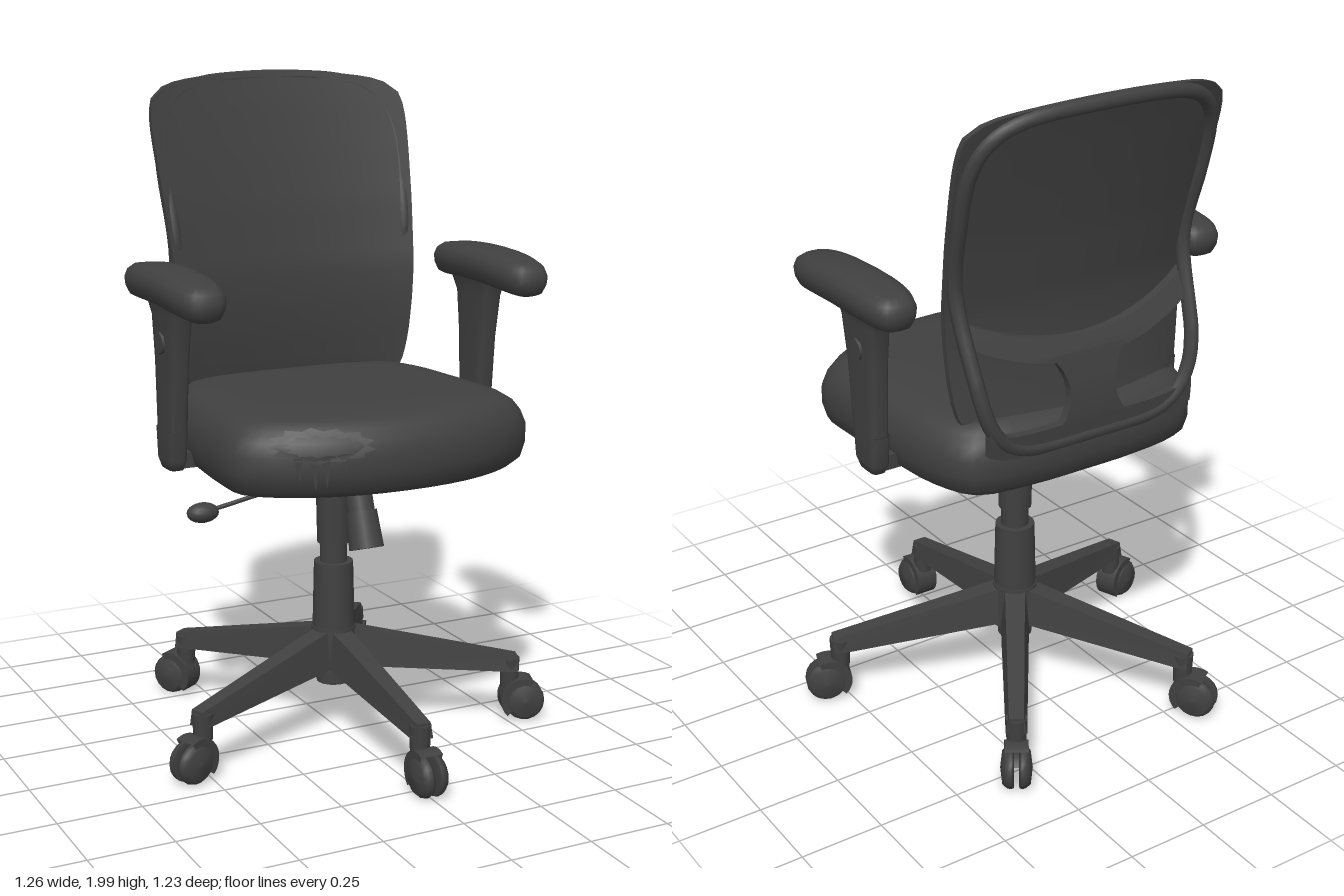
import * as THREE from 'three';

const charcoal = new THREE.MeshStandardMaterial({ color: 0x404040, side: THREE.DoubleSide });
charcoal.name = 'charcoal';

function add(parent, name, geo, x = 0, y = 0, z = 0) {
  const m = new THREE.Mesh(geo, charcoal);
  m.name = name;
  m.position.set(x, y, z);
  parent.add(m);
  return m;
}

// Move every vertex by a rule
function warp(geo, rule) {
  const p = geo.attributes.position, v = new THREE.Vector3();
  for (let i = 0; i < p.count; i++) {
    v.fromBufferAttribute(p, i);
    rule(v);
    p.setXYZ(i, v.x, v.y, v.z);
  }
  geo.computeVertexNormals();
  return geo;
}

// Bent plate: u in -1..1, v in 0..1, s in -1..1 through the thickness
const slab = (nu, nv, f) => warp(new THREE.BoxGeometry(2, 1, 2, nu, nv, 1),
  p => p.set(...f(p.x, p.y + 0.5, p.z)));

const sgnPow = (c, e) => Math.sign(c) * Math.pow(Math.abs(c), e);
const squircle = p => t => [sgnPow(Math.sin(t * 2 * Math.PI), 2 / p), sgnPow(Math.cos(t * 2 * Math.PI), 2 / p)];

// Skin stacked rings [y, cx, cz, sx, sz] of one outline, bottom to top
function loft(rings, outline, n = 24) {
  const pos = [], idx = [];
  for (const [y, cx, cz, sx, sz] of rings)
    for (let j = 0; j < n; j++) {
      const [x, z] = outline(j / n);
      pos.push(cx + x * sx, y, cz + z * sz);
    }
  for (let i = 0; i < rings.length - 1; i++)
    for (let j = 0; j < n; j++) {
      const k = (j + 1) % n, a = i * n + j, b = i * n + k;
      idx.push(a, b, b + n, a, b + n, a + n);
    }
  const g = new THREE.BufferGeometry();
  g.setAttribute('position', new THREE.Float32BufferAttribute(pos, 3));
  g.setIndex(idx);
  g.computeVertexNormals();
  return g;
}

// Linear lookup in [key, value] pairs
function lookup(table, k) {
  for (let i = 1; i < table.length; i++) {
    const [a, va] = table[i - 1], [b, vb] = table[i];
    if (k <= b || i === table.length - 1) return va + (vb - va) * (k - a) / (b - a);
  }
}

function rod(parent, name, a, b, r0, r1, sides = 14) {
  const A = new THREE.Vector3(...a), d = new THREE.Vector3(...b).sub(A);
  const m = add(parent, name, new THREE.CylinderGeometry(r1, r0, d.length(), sides));
  m.position.copy(A).addScaledVector(d, 0.5);
  m.quaternion.setFromUnitVectors(new THREE.Vector3(0, 1, 0), d.normalize());
}

const COL_Z = -0.055; // column axis

function makeSeat(root) {
  const half = [[0.22, 0.42], [0.385, 0.35], [0.468, 0.27], [0.475, 0.12], [0.46, -0.08], [0.435, -0.27], [0.37, -0.4], [0.2, -0.435]];
  const pts = [[0, 0.445], ...half, [0, -0.44], ...half.map(([x, z]) => [-x, z]).reverse()];
  const curve = new THREE.CatmullRomCurve3(pts.map(([x, z]) => new THREE.Vector3(x, 0, z)), true);
  const outline = t => { const p = curve.getPoint(t); return [p.x, p.z]; };
  const levels = [[0.872, 0.001], [0.868, 0.85], [0.872, 0.93], [0.895, 0.985], [0.94, 1.01], [0.99, 1.01],
    [1.03, 0.98], [1.06, 0.935], [1.08, 0.87], [1.09, 0.75], [1.093, 0.4], [1.094, 0.001]];
  add(root, 'seat', loft(levels.map(([y, s]) => [y, 0, 0, s, s]), outline, 54));

  // Torn patch on the front edge: ragged rim and hanging threads
  const ring = (rx, ry, jag) => Array.from({ length: 26 }, (_, i) => {
    const a = i / 26 * Math.PI * 2, k = 1 + (i % 2 ? jag : -jag) * (1 + 0.5 * Math.sin(i * 2.3));
    return new THREE.Vector2(-0.265 + Math.cos(a) * rx * k, 1.025 + Math.sin(a) * ry * k);
  });
  const rim = new THREE.Shape(ring(0.13, 0.045, 0.1));
  rim.holes.push(new THREE.Path(ring(0.095, 0.027, 0.1)));
  const threads = [[-0.33, 0.93], [-0.29, 0.9], [-0.26, 0.91], [-0.21, 0.95]].map(([x, y]) => new THREE.Shape(
    [[x - 0.012, 0.995], [x + 0.004, y], [x + 0.012, 0.995]].map(q => new THREE.Vector2(...q))));
  add(root, 'tornFabric', warp(new THREE.ShapeGeometry([rim, ...threads]), p => {
    const up = Math.max(0, p.y - 0.98);
    p.z = (0.46 - 0.7 * p.x * p.x) * (1 - 12 * up * up) + 0.012;
  }));
}

// Backrest surfaces: side edge of the panel, and the rear frame
const sideZ = [[0.98, -0.33], [1.08, -0.305], [1.2, -0.292], [1.3, -0.288], [1.4, -0.293], [1.6, -0.335], [1.75, -0.375], [1.9, -0.418], [2, -0.45]];
const rearZ = [[0.98, -0.43], [1.06, -0.436], [1.15, -0.43], [1.25, -0.408], [1.35, -0.36], [1.42, -0.32]];
function backPoint(u, v) {
  const w = 0.37 + 0.065 * Math.pow(v, 0.8) - 0.022 * v ** 22 - 0.04 * (1 - v) ** 20;
  const top = 1.995 - 0.035 * u * u - 0.035 * u ** 12, bottom = 0.98 + 0.05 * u ** 8;
  const y = bottom + (top - bottom) * v;
  return [u * w, y, lookup(sideZ, y) - (0.065 - 0.025 * v) * (1 - u * u)];
}

function makeBackrest(root) {
  const g = new THREE.Group();
  g.name = 'backrest';
  root.add(g);
  add(g, 'backPanel', slab(20, 28, (u, v, s) => {
    const [x, y, z] = backPoint(u, v);
    return [x, y, z - 0.01 + s * 0.01];
  }));
  // Rim that swings to the rear in its lower part
  const rim = [], shape = squircle(6);
  for (let i = 0; i < 72; i++) {
    const [a, b] = shape(i / 72);
    const [x, y, z] = backPoint(a * 0.945, 0.5 + b * 0.482);
    rim.push(new THREE.Vector3(x, y, y < 1.42 ? lookup(rearZ, y) : z - 0.022));
  }
  add(g, 'backRim', new THREE.TubeGeometry(new THREE.CatmullRomCurve3(rim, true), 110, 0.022, 8, true));
  // Lower rear frame: lumbar bar, spine and bottom bar around two openings
  const bar = (name, f) => add(g, name, slab(16, 6, (u, v, s) => {
    const [x, y] = f(u, v);
    return [x, y, lookup(rearZ, y) + s * 0.013];
  }));
  bar('lumbarBar', (u, v) => [u * 0.375, 1.225 + 0.1 * u * u + 0.065 * v]);
  bar('backSpine', (u, v) => [u * (0.075 + 0.05 * (2 * v - 1) ** 2), 1.03 + 0.22 * v]);
  bar('backBottomBar', (u, v) => [u * 0.345, 0.985 + 0.03 * u ** 6 + 0.07 * v]);
}

function makeArm(root, side) {
  const g = new THREE.Group();
  g.name = side > 0 ? 'leftArmrest' : 'rightArmrest';
  root.add(g);
  const X = side * 0.512;
  const pad = [[1.375, 0.001, 0.001], [1.375, 0.05, 0.235], [1.385, 0.069, 0.255], [1.41, 0.081, 0.267], [1.435, 0.084, 0.27],
    [1.458, 0.075, 0.26], [1.472, 0.055, 0.235], [1.477, 0.03, 0.15], [1.478, 0.001, 0.001]];
  add(g, 'armPad', warp(loft(pad.map(([y, sx, sz]) => [y, side * 0.517, -0.025, sx, sz]), squircle(3.2), 36),
    p => { const d = (p.z + 0.08) / 0.32; p.y -= 0.026 * d * d; }));
  const post = [[0.88, -0.085, 0.001, 0.001], [0.882, -0.085, 0.022, 0.045], [0.91, -0.085, 0.03, 0.058], [1.0, -0.085, 0.032, 0.064],
    [1.0, -0.08, 0.029, 0.066], [1.2, -0.075, 0.031, 0.078], [1.33, -0.07, 0.035, 0.095], [1.37, -0.075, 0.04, 0.115], [1.4, -0.085, 0.05, 0.135]];
  add(g, 'armPost', loft(post.map(([y, z, sx, sz]) => [y, X - side * 0.004, z, sx, sz]), squircle(4), 24));
  add(g, 'armFoot', new THREE.BoxGeometry(0.1, 0.045, 0.09), side * 0.445, 0.91, -0.085);
  rod(g, 'heightButton', [X, 1.255, -0.075], [X + side * 0.036, 1.255, -0.075], 0.038, 0.032, 8);
}

function makeMechanism(root) {
  const plate = [[0.775, 0, -0.06, 0.001, 0.001], [0.775, 0, -0.06, 0.06, 0.08], [0.8, 0, -0.06, 0.09, 0.13],
    [0.84, 0, -0.05, 0.115, 0.2], [0.86, 0, -0.045, 0.135, 0.24], [0.875, 0, -0.045, 0.135, 0.24]];
  add(root, 'tiltMechanism', loft(plate, squircle(8), 28));
  rod(root, 'tensionStem', [0, 0.84, 0.09], [0, 0.72, 0.135], 0.042, 0.042);
  rod(root, 'tensionKnob', [0, 0.74, 0.128], [0, 0.635, 0.165], 0.048, 0.053);
  rod(root, 'leverRod', [-0.07, 0.812, -0.05], [-0.4, 0.75, -0.05], 0.007, 0.007, 8);
  const paddle = add(root, 'leverPaddle', new THREE.SphereGeometry(1, 14, 10), -0.43, 0.745, -0.05);
  paddle.scale.set(0.05, 0.03, 0.035);
}

function makeBase(root) {
  const g = new THREE.Group();
  g.name = 'base';
  g.position.z = COL_Z;
  root.add(g);
  rod(g, 'gasSleeve', [0, 0.6, 0], [0, 0.79, 0], 0.05, 0.054, 18);
  rod(g, 'gasPiston', [0, 0.53, 0], [0, 0.6, 0], 0.042, 0.042, 18);
  rod(g, 'column', [0, 0.33, 0], [0, 0.54, 0], 0.065, 0.06, 18);
  rod(g, 'hub', [0, 0.2, 0], [0, 0.335, 0], 0.075, 0.068, 18);
  rod(g, 'hubFoot', [0, 0.155, 0], [0, 0.21, 0], 0.053, 0.053, 18);

  const wheel = [[0, 0.008], [0.06, 0.008], [0.063, 0.016], [0.06, 0.028], [0.048, 0.041], [0, 0.047]].map(q => new THREE.Vector2(...q));
  [0, 69.5, 146.5, -146.5, -69.5].forEach((angle, i) => {
    const leg = new THREE.Group();
    leg.name = 'leg' + (i + 1);
    leg.rotation.y = THREE.MathUtils.degToRad(angle);
    g.add(leg);
    // Tapered spoke, narrower along its top
    add(leg, 'spoke', warp(new THREE.BoxGeometry(1, 1, 1), p => {
      const t = p.z + 0.5, up = p.y > 0;
      const w = (0.09 - 0.028 * t) * (up ? 0.7 : 1);
      p.set(p.x * w, up ? 0.335 - 0.12 * t : 0.215 - 0.05 * t, 0.02 + 0.555 * t);
    }));
    rod(leg, 'casterStem', [0, 0.11, 0.553], [0, 0.205, 0.553], 0.028, 0.032, 12);
    add(leg, 'casterHood', new THREE.CylinderGeometry(0.07, 0.07, 0.07, 14, 1, false, Math.PI * 0.75, Math.PI * 0.9).rotateZ(-Math.PI / 2), 0, 0.072, 0.593);
    for (const s of [-1, 1])
      add(leg, 'casterWheel', new THREE.LatheGeometry(wheel, 18).rotateZ(-s * Math.PI / 2), 0, 0.067, 0.6);
  });
}

export function createModel() {
  const root = new THREE.Group();
  root.name = 'officeChair';
  makeSeat(root);
  makeBackrest(root);
  for (const side of [-1, 1]) makeArm(root, side);
  makeMechanism(root);
  makeBase(root);
  return root;
}
